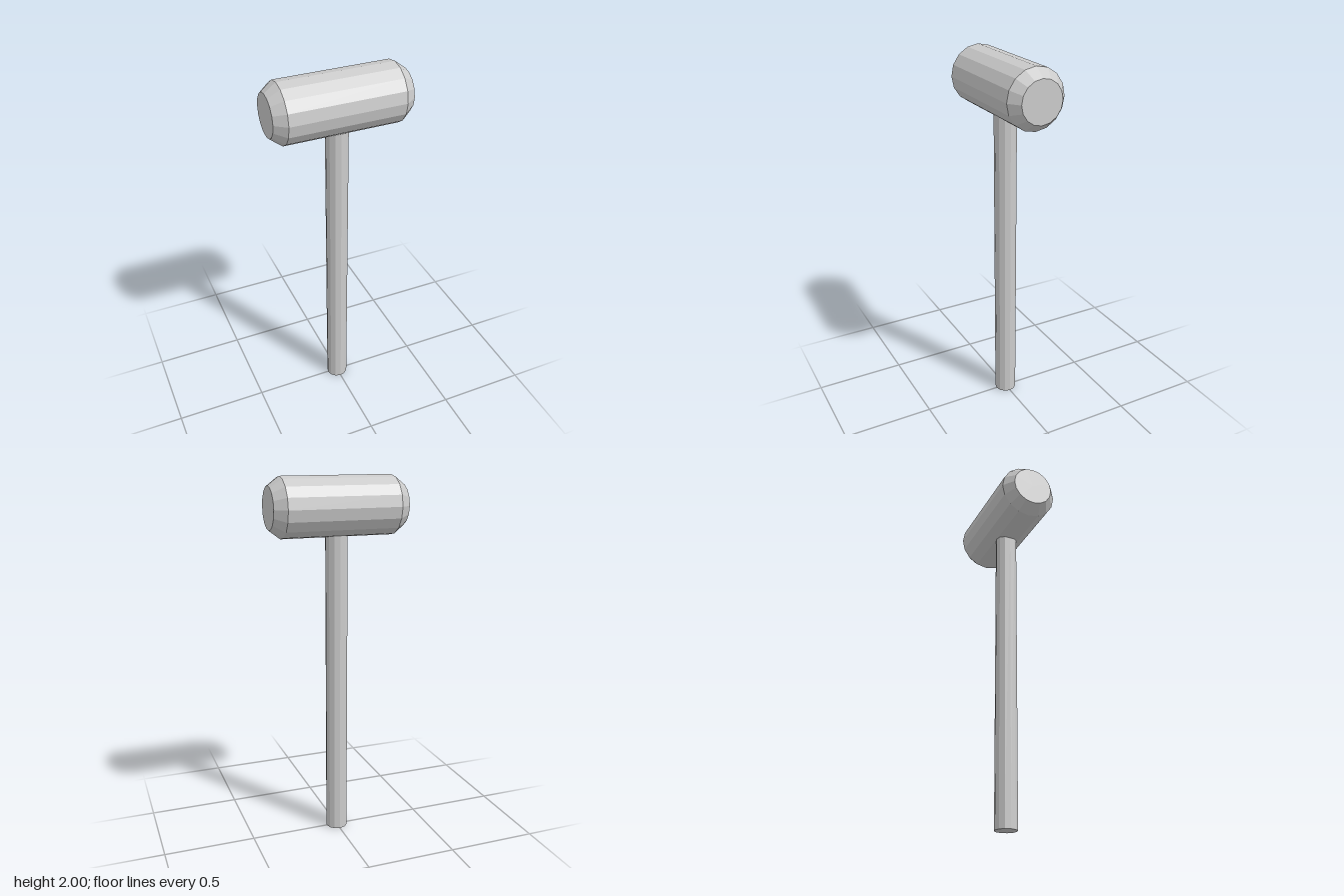
import * as THREE from 'three';

export function createModel() {
  const model = new THREE.Group();
  const material = new THREE.MeshStandardMaterial({ color: 0xcccccc, flatShading: true });

  // Handle: straight twelve-sided shaft, its top sunk into the head
  const length = 1.74;
  const handle = new THREE.Mesh(new THREE.CylinderGeometry(0.06, 0.06, length, 12), material);
  handle.name = 'handle';
  handle.position.y = length / 2;
  model.add(handle);

  // Head: sixteen-sided barrel with bevelled ends, laid along x
  const profile = [
    [0, -0.368], [0.112, -0.368], [0.158, -0.307],
    [0.158, 0.307], [0.112, 0.368], [0, 0.368],
  ].map(([r, y]) => new THREE.Vector2(r, y));
  const head = new THREE.Mesh(new THREE.LatheGeometry(profile, 16), material);
  head.name = 'head';
  head.rotation.z = Math.PI / 2;
  head.position.y = 1.842;
  model.add(head);

  return model;
}
